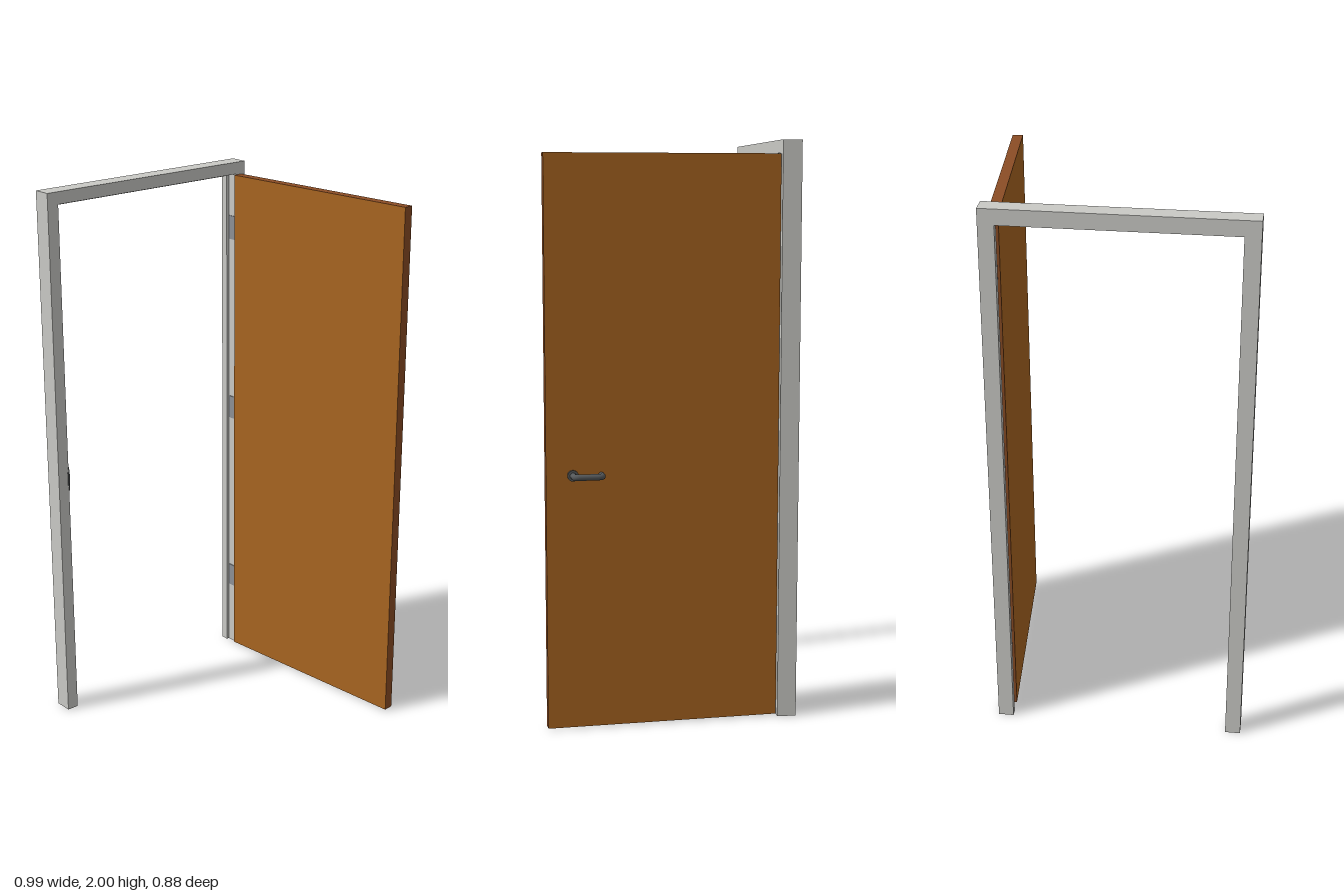
import * as THREE from 'three';

const material = (name, color, side = THREE.FrontSide) => {
  const m = new THREE.MeshStandardMaterial({ color, side });
  m.name = name;
  return m;
};

export function createModel() {
  const model = new THREE.Group();
  model.name = 'openDoor';

  const framePaint = material('framePaint', 0xcacac6);
  const woodFace = material('woodFace', 0xa96521);
  const woodEdge = material('woodEdge', 0x8b4d25);
  const darkMetal = material('darkMetal', 0x55585a);
  const hingeSteel = material('hingeSteel', 0x8d9196);

  const add = (parent, name, geometry, mat, x = 0, y = 0, z = 0) => {
    const mesh = new THREE.Mesh(geometry, mat);
    mesh.name = name;
    mesh.position.set(x, y, z);
    parent.add(mesh);
    return mesh;
  };

  // Frame: two portal-shaped layers, the rear one wider to form the door stop
  const left = -0.5, right = 0.4, top = 2;
  const portal = (width, depth) => {
    const shape = new THREE.Shape([
      [left, 0], [left + width, 0], [left + width, top - width], [right - width, top - width],
      [right - width, 0], [right, 0], [right, top], [left, top],
    ].map(([x, y]) => new THREE.Vector2(x, y)));
    return new THREE.ExtrudeGeometry(shape, { depth, bevelEnabled: false });
  };
  const frame = new THREE.Group();
  frame.name = 'doorFrame';
  model.add(frame);
  add(frame, 'frameStop', portal(0.055, 0.027), framePaint, 0, 0, -0.438);
  add(frame, 'frameRebate', portal(0.044, 0.039), framePaint, 0, 0, -0.411);

  // Strike plate with a small lip on the latch side
  add(frame, 'strikePlate', new THREE.BoxGeometry(0.003, 0.09, 0.032), darkMetal, -0.4555, 0.945, -0.386);
  add(frame, 'strikeLip', new THREE.BoxGeometry(0.006, 0.05, 0.004), darkMetal, -0.457, 0.945, -0.37);

  // Hinge plates on the other jamb
  for (const y of [0.3, 1.03, 1.75]) {
    add(frame, 'hingePlate', new THREE.BoxGeometry(0.004, 0.09, 0.034), hingeSteel, 0.355, y, -0.389);
  }

  // Door leaf, swung open; local z runs from hinge side to latch side
  const thick = 0.037, length = 0.807, height = 1.95;
  const door = new THREE.Group();
  door.name = 'door';
  door.position.set(0.345, 0.004, -0.367);
  door.rotation.y = 0.0806;
  model.add(door);
  add(door, 'doorLeaf', new THREE.BoxGeometry(thick, height, length),
    [woodFace, woodFace, woodEdge, woodEdge, woodEdge, woodEdge], thick / 2, height / 2, length / 2);

  // Lever handle: round rose, bent tube and a cap on its free end
  const handle = new THREE.Group();
  handle.name = 'handle';
  handle.position.y = 0.877;
  door.add(handle);
  const rose = add(handle, 'handleRose', new THREE.CylinderGeometry(0.019, 0.019, 0.008, 24),
    darkMetal, thick + 0.004, 0, 0.716);
  rose.rotation.z = -Math.PI / 2;

  const radius = 0.0108, reach = 0.081, near = 0.716, far = 0.62, bend = 0.016, end = 0.045;
  const p = (x, z) => new THREE.Vector3(x, 0, z);
  const path = new THREE.CurvePath();
  path.add(new THREE.LineCurve3(p(thick, near), p(reach - bend, near)));
  path.add(new THREE.QuadraticBezierCurve3(p(reach - bend, near), p(reach, near), p(reach, near - bend)));
  path.add(new THREE.LineCurve3(p(reach, near - bend), p(reach, far + bend)));
  path.add(new THREE.QuadraticBezierCurve3(p(reach, far + bend), p(reach, far), p(reach - bend, far)));
  path.add(new THREE.LineCurve3(p(reach - bend, far), p(end, far)));
  add(handle, 'handleLever', new THREE.TubeGeometry(path, 60, radius, 16), darkMetal);
  const cap = add(handle, 'handleEnd', new THREE.CircleGeometry(radius, 16), darkMetal, end, 0, far);
  cap.rotation.y = -Math.PI / 2;

  return model;
}
